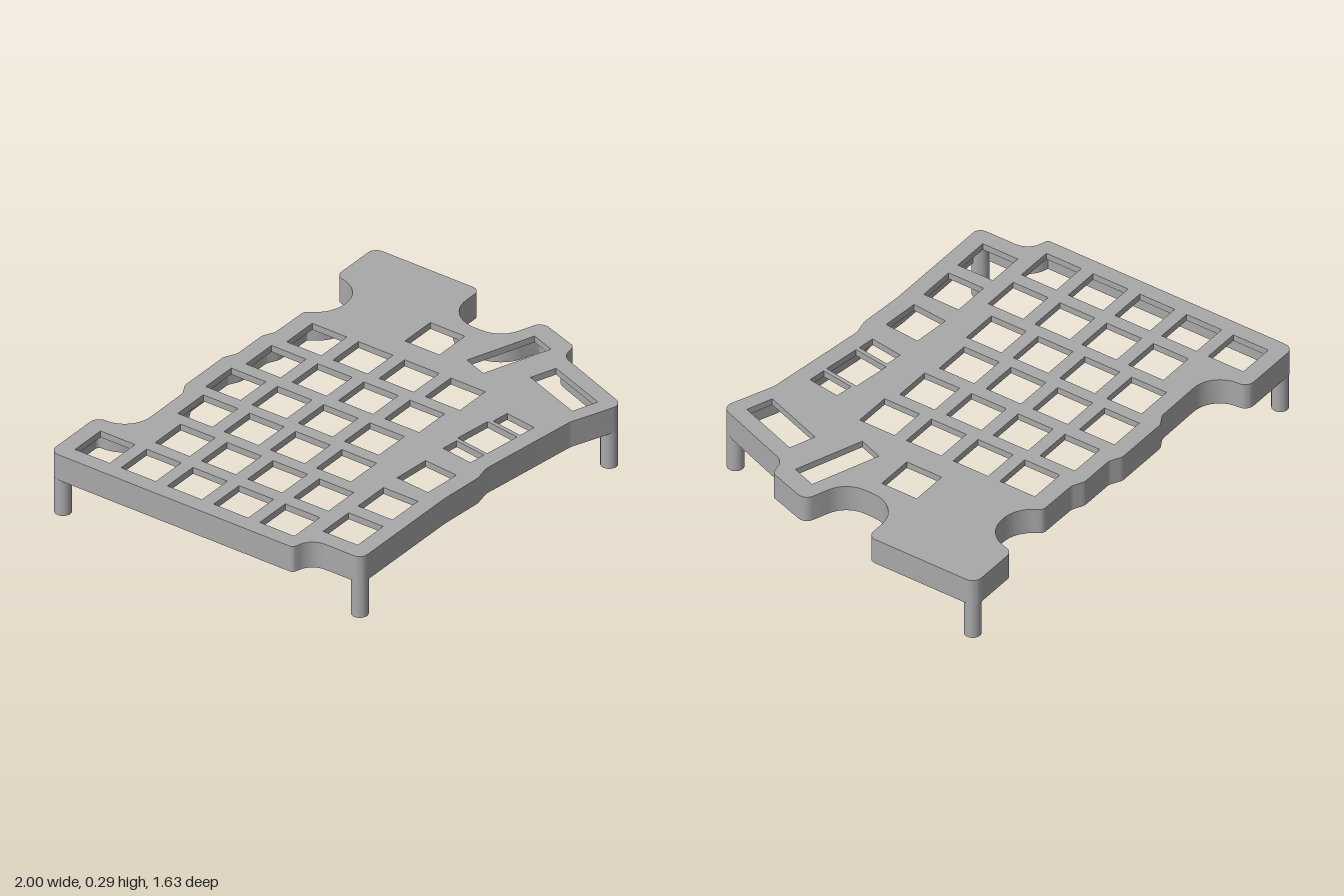
import * as THREE from 'three';
import { toCreasedNormals } from 'three/addons/utils/BufferGeometryUtils.js';

const TOP = 0.29, PLATE_BOTTOM = 0.26, RIM = 0.17, WALL = 0.025, PITCH = 0.23, KEY = 0.172;

// Outline corners seen from above: [x, z, fillet radius]
const CORNERS = [
  [-1, -0.818, 0.043], [-0.681, -0.818, 0.043], [-0.681, -0.644, 0.128],
  [-0.333, -0.647, 0.043], [-0.28, -0.676, 0.043], [-0.018, -0.676, 0.043],
  [0.036, -0.647, 0.043], [0.202, -0.647, 0.043], [0.255, -0.62, 0.043],
  [0.447, -0.618, 0.032], [0.508, -0.521, 0.144], [0.707, -0.521, 0.141],
  [0.743, -0.676, 0.043], [0.998, -0.676, 0.043], [0.998, -0.147, 0.037],
  [0.758, -0.147, 0.144], [0.758, 0.128, 0.128], [0.95, 0.198, 0.043],
  [0.881, 0.404, 0.032], [0.795, 0.42, 0.064], [0.645, 0.821, 0.043],
  [0.415, 0.73, 0.08], [-0.066, 0.666, 0.08], [-0.141, 0.682, 0.053],
  [-0.344, 0.666, 0.1], [-0.905, 0.666, 0.037], [-0.905, 0.42, 0.086],
  [-1, 0.393, 0.021],
];

// Replace each corner with a tangent arc
function filletedOutline(corners, steps = 10) {
  const pts = [], n = corners.length;
  const vec = (i) => new THREE.Vector2(corners[(i + n) % n][0], corners[(i + n) % n][1]);
  for (let i = 0; i < n; i++) {
    const p = vec(i), r = corners[i][2];
    const din = p.clone().sub(vec(i - 1)).normalize();
    const dout = vec(i + 1).sub(p).normalize();
    const turn = Math.atan2(din.cross(dout), din.dot(dout));
    const start = p.clone().addScaledVector(din, -r * Math.tan(Math.abs(turn) / 2));
    const side = Math.sign(turn);
    const centre = start.clone().add(new THREE.Vector2(-din.y, din.x).multiplyScalar(r * side));
    for (let k = 0; k <= steps; k++) pts.push(start.clone().rotateAround(centre, (turn * k) / steps));
  }
  return pts;
}

// Move every point inward along its mitred normal
function inset(pts, d) {
  const n = pts.length;
  return pts.map((p, i) => {
    const a = p.clone().sub(pts[(i + n - 1) % n]).normalize();
    const b = pts[(i + 1) % n].clone().sub(p).normalize();
    const m = new THREE.Vector2(-a.y - b.y, a.x + b.x).normalize();
    const miter = Math.max(0.5, -a.y * m.x + a.x * m.y);
    return p.clone().addScaledVector(m, d / miter);
  });
}

// Rectangular opening, angle in degrees turning +x towards +z
function rectHole(x, z, w, h, deg = 0) {
  const c = new THREE.Vector2(x, z);
  return new THREE.Path([[-1, -1], [-1, 1], [1, 1], [1, -1]].map(([sx, sz]) =>
    new THREE.Vector2(x + sx * w / 2, z + sz * h / 2).rotateAround(c, THREE.MathUtils.degToRad(deg))));
}

// Extrude a plan shape downward between two heights
function slab(outline, holes, top, bottom) {
  const shape = new THREE.Shape(outline);
  shape.holes = holes;
  const geo = new THREE.ExtrudeGeometry(shape, { depth: top - bottom, bevelEnabled: false });
  geo.rotateX(Math.PI / 2).translate(0, top, 0);
  return toCreasedNormals(geo, 0.5);
}

export function createModel() {
  const model = new THREE.Group();
  model.name = 'keyboardCase';
  const grey = new THREE.MeshStandardMaterial({ color: 0xa8a8a8 });
  grey.name = 'casing grey';
  const add = (name, geo) => {
    const mesh = new THREE.Mesh(geo, grey);
    mesh.name = name;
    model.add(mesh);
    return mesh;
  };

  const outline = filletedOutline(CORNERS);

  // Staggered key columns: [x, z of first key, count]
  const holes = [];
  for (const [x, z, count] of [
    [-0.842, -0.658, 5], [-0.61, -0.43, 4], [-0.38, -0.487, 4],
    [-0.152, -0.516, 4], [0.08, -0.487, 4], [0.31, -0.454, 4],
    [0.596, -0.077, 1], [-0.745, 0.506, 1], [-0.51, 0.506, 1],
  ]) for (let i = 0; i < count; i++) holes.push(rectHole(x, z + i * PITCH, KEY, KEY));

  // Tilted keys along the front and under the thumb
  for (const k of [
    [-0.254, 0.51, KEY, 0.165, 5],
    [-0.017, 0.518, 0.078, 0.153, 8], [0.125, 0.532, KEY, 0.165, 8], [0.267, 0.558, 0.08, 0.15, 8],
    [0.676, 0.233, 0.325, 0.118, 20], [0.596, 0.567, 0.123, 0.303, 20],
  ]) holes.push(rectHole(...k));

  add('keyPlate', slab(outline, holes, TOP, PLATE_BOTTOM));

  // Thin wall hanging from the edge of the plate
  const inner = inset(outline, WALL).reverse();
  add('sideWall', slab(outline, [new THREE.Path(inner)], PLATE_BOTTOM, RIM));

  // Round legs in the four corners
  const legGeo = new THREE.CylinderGeometry(0.036, 0.036, PLATE_BOTTOM, 32);
  for (const [name, x, z] of [
    ['backRightLeg', -0.96, -0.78], ['frontRightLeg', -0.868, 0.63],
    ['backLeftLeg', 0.96, -0.637], ['frontLeftLeg', 0.623, 0.771],
  ]) add(name, legGeo).position.set(x, PLATE_BOTTOM / 2, z);

  return model;
}
